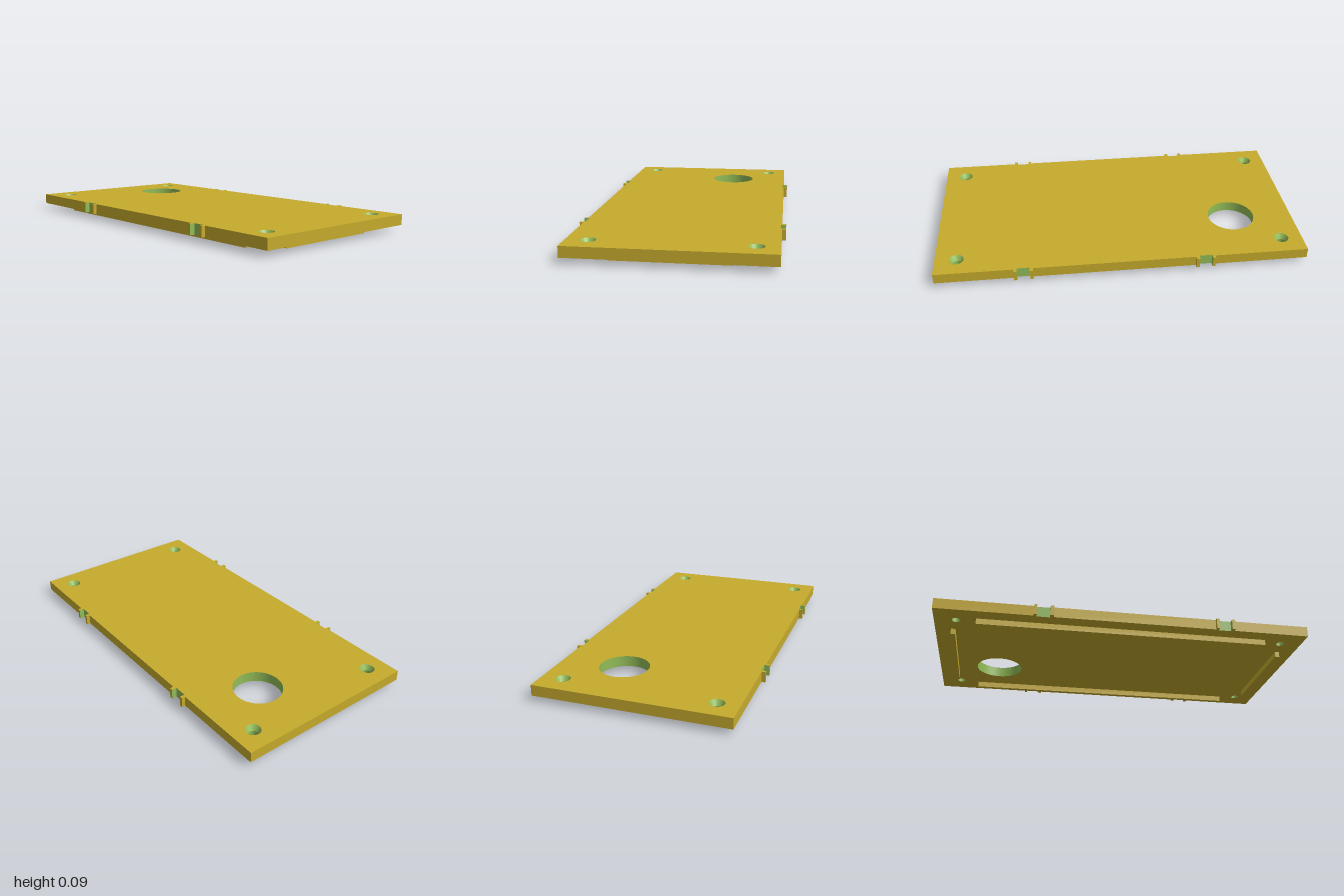
import * as THREE from 'three';

const Y0 = 0.031, Y1 = 0.088; // plate underside and top
const EDGE = 0.51, TAB = 0.53, NOTCH = 0.503;
const PORT = { x: -0.655, z: -0.17, r: 0.13 };
const SCREW = { x: 0.885, z: 0.398, top: 0.039, bottom: 0.023, coneEnd: 0.06 };

// One long edge: corner, two tabbed notches (8 points each), corner
function edgePoints() {
  const pts = [[-1, -EDGE]];
  for (const [a, b, c, d] of [[-0.49, -0.475, -0.405, -0.387], [0.482, 0.498, 0.567, 0.584]]) {
    pts.push([a, -EDGE], [a, -TAB], [b, -TAB], [b, -NOTCH], [c, -NOTCH], [c, -TAB], [d, -TAB], [d, -EDGE]);
  }
  pts.push([1, -EDGE]);
  return pts;
}

function circle(x, y, r) {
  return new THREE.Path().absarc(x, y, r, 0, Math.PI * 2, true);
}

// Flat plate face with its holes; dir = 1 faces up, -1 faces down
function capGeometry(outline, y, screwRadius, dir) {
  const shape = new THREE.Shape(outline.map(([x, z]) => new THREE.Vector2(x, z)));
  shape.holes.push(circle(PORT.x, -PORT.z * dir, PORT.r));
  for (const sx of [-1, 1]) for (const sz of [-1, 1]) {
    shape.holes.push(circle(sx * SCREW.x, sz * SCREW.z, screwRadius));
  }
  return new THREE.ShapeGeometry(shape, 24).rotateX(-dir * Math.PI / 2).translate(0, y, 0);
}

// Upright faces along a list of outline segments
function wallGeometry(segments) {
  const pos = [];
  for (const [[ax, az], [bx, bz]] of segments) {
    pos.push(ax, Y0, -az, bx, Y0, -bz, bx, Y1, -bz);
    pos.push(ax, Y0, -az, bx, Y1, -bz, ax, Y1, -az);
  }
  const g = new THREE.BufferGeometry();
  g.setAttribute('position', new THREE.Float32BufferAttribute(pos, 3));
  g.computeVertexNormals();
  return g;
}

export function createModel() {
  const model = new THREE.Group();
  const plateMat = new THREE.MeshStandardMaterial({ color: 0xc6ab2d });
  plateMat.name = 'mustard';
  const cutMat = new THREE.MeshStandardMaterial({ color: 0x92bc58, side: THREE.DoubleSide });
  cutMat.name = 'cutGreen';

  const add = (name, geometry, material, x = 0, y = 0, z = 0) => {
    const mesh = new THREE.Mesh(geometry, material);
    mesh.name = name;
    mesh.position.set(x, y, z);
    model.add(mesh);
  };

  // Plate faces and rim, with green notch walls
  const front = edgePoints();
  const outline = [...front, ...front.map(([x, z]) => [x, -z]).reverse()];
  const rim = [], notches = [];
  outline.forEach((p, i) => {
    const k = ((i % front.length) + 7) % 8;
    const list = k >= 2 && k <= 4 ? notches : rim;
    list.push([p, outline[(i + 1) % outline.length]]);
  });
  add('plateTop', capGeometry(outline, Y1, SCREW.top, 1), plateMat);
  add('plateUnderside', capGeometry(outline, Y0, SCREW.bottom, -1), plateMat);
  add('plateRim', wallGeometry(rim), plateMat);
  add('notchWalls', wallGeometry(notches), cutMat);

  // Large round port
  const portWall = new THREE.CylinderGeometry(PORT.r, PORT.r, Y1 - Y0, 48, 1, true);
  add('portWall', portWall, cutMat, PORT.x, (Y0 + Y1) / 2, PORT.z);

  // Countersunk screw holes
  const screwWall = new THREE.LatheGeometry([
    new THREE.Vector2(SCREW.bottom, Y0),
    new THREE.Vector2(SCREW.bottom, SCREW.coneEnd),
    new THREE.Vector2(SCREW.bottom, SCREW.coneEnd),
    new THREE.Vector2(SCREW.top, Y1),
  ], 32);
  for (const sx of [-1, 1]) for (const sz of [-1, 1]) {
    add('screwHole', screwWall, cutMat, sx * SCREW.x, 0, sz * SCREW.z);
  }

  // Locating ribs on the underside
  for (const s of [-1, 1]) {
    add('longRib', new THREE.BoxGeometry(1.566, Y0, 0.024), plateMat, 0, Y0 / 2, s * 0.42);
    add('shortRib', new THREE.BoxGeometry(0.024, Y0, 0.592), plateMat, s * 0.905, Y0 / 2, 0);
  }
  return model;
}
